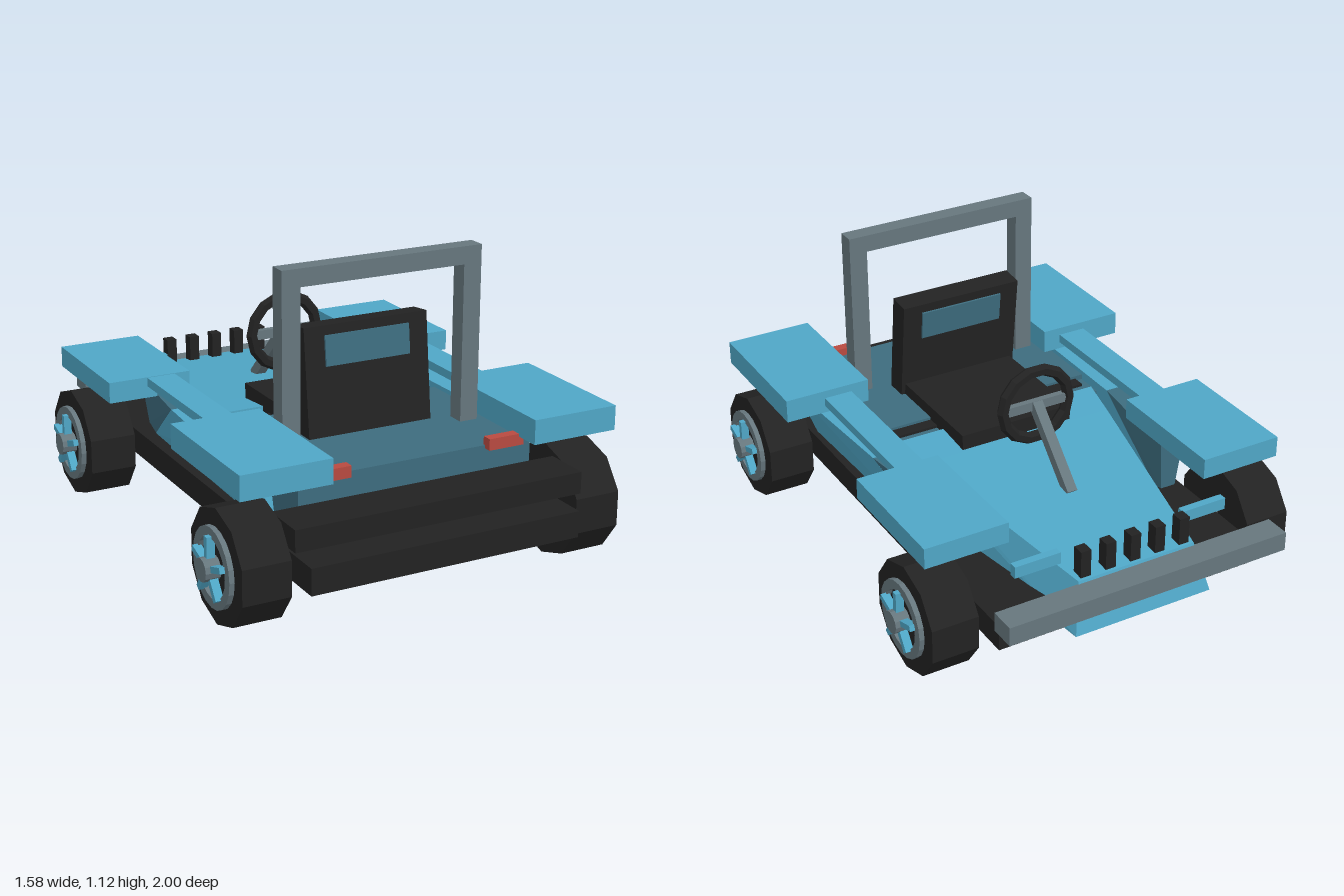
import * as THREE from 'three';
import { ConvexGeometry } from 'three/addons/geometries/ConvexGeometry.js';

const paint = (name, color) => {
  const m = new THREE.MeshStandardMaterial({ color, flatShading: true });
  m.name = name;
  return m;
};

export function createModel() {
  const blue = paint('light blue', 0x4fa6c6), teal = paint('dark teal', 0x3d6c7e);
  const black = paint('black', 0x222222), grey = paint('grey', 0x66767d), red = paint('red', 0xb84a40);
  const car = new THREE.Group();
  car.name = 'buggy';

  const add = (name, geo, mat, parent = car) => {
    const m = new THREE.Mesh(geo, mat);
    m.name = name;
    parent.add(m);
    return m;
  };
  // Box given by its extents on each axis
  const box = (name, mat, x0, x1, y0, y1, z0, z1) => {
    const m = add(name, new THREE.BoxGeometry(Math.abs(x1 - x0), y1 - y0, z1 - z0), mat);
    m.position.set((x0 + x1) / 2, (y0 + y1) / 2, (z0 + z1) / 2);
    return m;
  };
  const pair = (name, mat, x0, x1, ...r) => {
    box(name, mat, x0, x1, ...r);
    box(name, mat, -x0, -x1, ...r);
  };
  const hull = (name, mat, pts, s = 1) =>
    add(name, new ConvexGeometry(pts.map(([x, y, z]) => new THREE.Vector3(x * s, y, z))), mat);

  // Chassis, tub and bumpers
  box('chassis', black, -0.52, 0.52, 0.165, 0.262, -0.86, 1);
  box('tub', teal, -0.455, 0.455, 0.262, 0.475, 0.16, 0.78);
  box('cockpitFloor', teal, -0.44, 0.44, 0.262, 0.455, 0.05, 0.16);
  box('cockpitStrip', black, -0.41, 0.41, 0.44, 0.465, 0.11, 0.16);
  box('rearBumper', black, -0.555, 0.555, 0.305, 0.385, 0.78, 0.955);
  box('frontBumper', grey, -0.56, 0.56, 0.288, 0.36, -1, -0.9);

  // Tapered hood with sloping nose
  const both = (x, y, z) => [[x, y, z], [-x, y, z]];
  hull('hood', blue, [
    ...both(0.42, 0.475, 0.06), ...both(0.435, 0.262, 0.06), ...both(0.39, 0.46, -0.1),
    ...both(0.235, 0.37, -0.9), ...both(0.275, 0.19, -0.955), ...both(0.285, 0.19, -0.86),
  ]);
  for (let i = -2; i <= 2; i++)
    box('hoodVent', black, i * 0.1 - 0.02, i * 0.1 + 0.02, 0.36, 0.475, -0.89, -0.845);

  // Flared side pods with a tapered front end
  for (const s of [1, -1]) {
    hull('sidePod', blue, [
      [0.45, 0.265, 0.61], [0.5, 0.265, 0.61], [0.45, 0.265, -0.39], [0.47, 0.265, -0.39],
      [0.6, 0.495, 0.55], [0.56, 0.49, -0.02], [0.44, 0.495, 0.55], [0.44, 0.49, -0.02],
    ], s);
    hull('sidePodFront', teal, [
      [0.56, 0.49, -0.02], [0.47, 0.268, -0.39], [0.42, 0.27, -0.39], [0.5, 0.478, -0.45],
      [0.47, 0.29, -0.45], [0.4, 0.478, -0.45], [0.41, 0.29, -0.45], [0.44, 0.49, -0.02],
    ], s);
  }

  // Fenders, connecting rails and lamps
  pair('rearFender', blue, 0.39, 0.725, 0.495, 0.585, 0.36, 0.904);
  pair('frontFender', blue, 0.4, 0.72, 0.478, 0.557, -0.718, -0.215);
  pair('sideRail', blue, 0.46, 0.57, 0.522, 0.555, -0.215, 0.36);
  pair('headlamp', blue, 0.25, 0.43, 0.395, 0.44, -0.81, -0.78);
  pair('tailLamp', red, 0.27, 0.41, 0.463, 0.505, 0.77, 0.808);

  // Roll bar
  pair('rollBarPost', grey, 0.32, 0.39, 0.47, 1.06, 0.47, 0.537);
  box('rollBarTop', grey, -0.39, 0.39, 1.055, 1.12, 0.47, 0.537);

  // Seat
  box('seatCushion', black, -0.23, 0.23, 0.43, 0.52, -0.09, 0.38);
  const back = new THREE.Group();
  back.name = 'seatBack';
  back.position.set(0, 0.665, 0.392);
  back.rotation.x = -0.11;
  car.add(back);
  add('backrest', new THREE.BoxGeometry(0.49, 0.4, 0.087), black, back);
  add('backrestPanel', new THREE.BoxGeometry(0.335, 0.11, 0.103), teal, back).position.y = 0.11;

  // Steering wheel and column
  const wheelY = 0.655, wheelZ = -0.222;
  add('steeringWheel', new THREE.TorusGeometry(0.137, 0.023, 6, 14), black).position.set(0, wheelY, wheelZ);
  box('steeringSpoke', grey, -0.125, 0.125, wheelY - 0.018, wheelY + 0.018, wheelZ - 0.012, wheelZ + 0.012);
  const column = add('steeringColumn', new THREE.BoxGeometry(0.04, 0.04, 0.35), grey);
  column.position.set(0, 0.535, -0.345);
  column.rotation.x = -Math.PI / 4;

  // Wheels: the local y axis of each wheel points outwards
  const wheelGroup = (s, z) => {
    const w = new THREE.Group();
    w.name = 'wheel';
    w.position.set(s * 0.645, 0.208, z);
    w.rotation.z = -s * Math.PI / 2;
    car.add(w);
    // vertex pointing straight up
    add('tyre', new THREE.CylinderGeometry(0.208, 0.208, 0.178, 10).rotateY(Math.PI / 2), black, w);
    const ring = add('rimRing', new THREE.LatheGeometry([
      [0.108, 0.085], [0.143, 0.085], [0.143, 0.108], [0.108, 0.108], [0.108, 0.085],
    ].map(([r, y]) => new THREE.Vector2(r, y)), 20), grey, w);
    ring.position.y = 0;
    for (let i = 0; i < 5; i++) {
      const arm = new THREE.Group();
      arm.rotation.y = (i / 5) * Math.PI * 2;
      w.add(arm);
      add('spoke', new THREE.BoxGeometry(0.095, 0.03, 0.022), blue, arm).position.set(-s * 0.067, 0.112, 0);
    }
    add('hub', new THREE.CylinderGeometry(0.042, 0.042, 0.06, 12), grey, w).position.y = 0.115;
  };
  for (const z of [0.735, -0.59]) {
    for (const s of [1, -1]) wheelGroup(s, z);
    const axle = add('axle', new THREE.CylinderGeometry(0.024, 0.024, 1.2, 8), grey);
    axle.rotation.z = Math.PI / 2;
    axle.position.set(0, 0.215, z);
  }
  return car;
}
